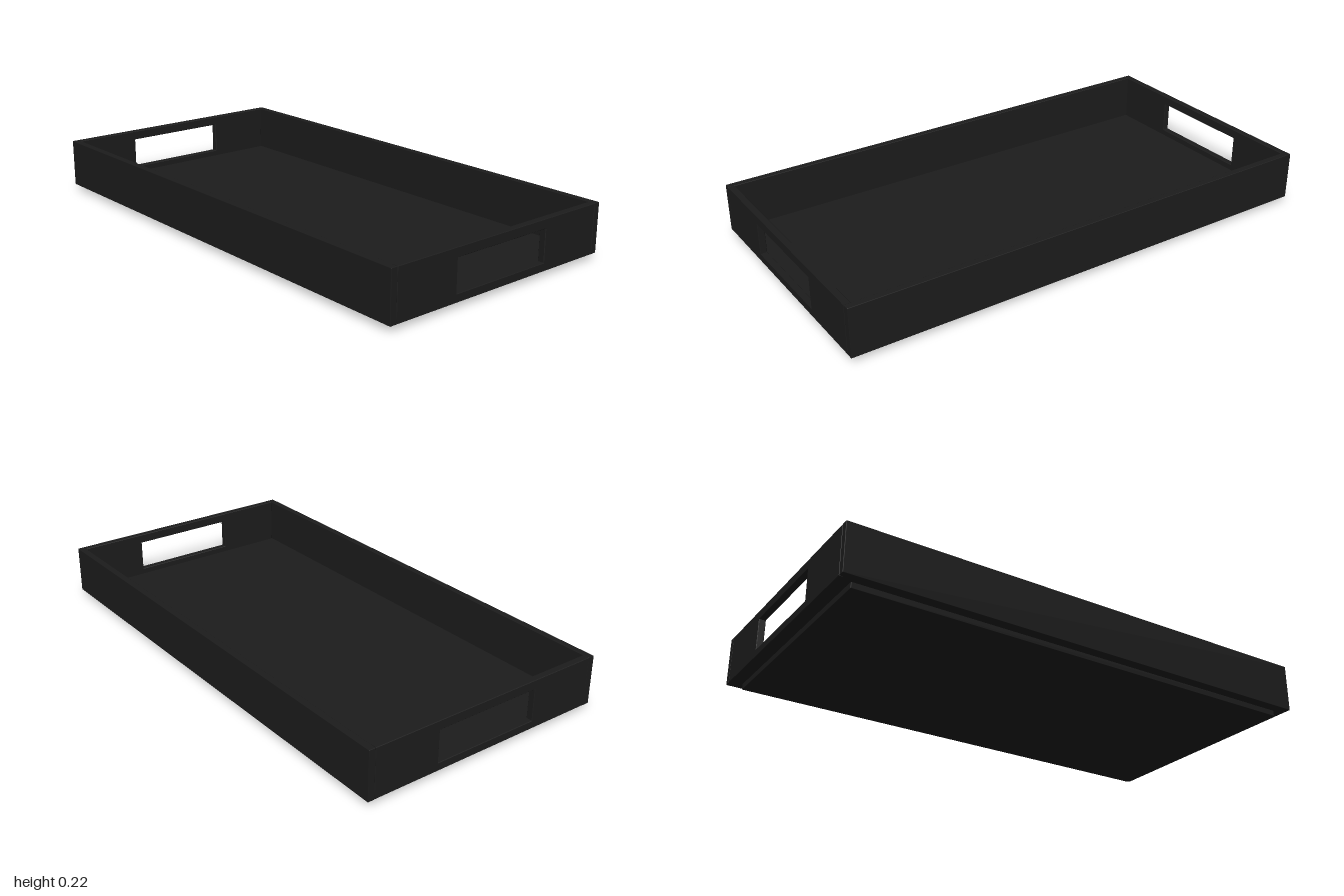
import * as THREE from 'three';
import { RoundedBoxGeometry } from 'three/addons/geometries/RoundedBoxGeometry.js';

const HX = 1, HZ = 0.517, BOTTOM = 0.023, TOP = 0.218, WALL = 0.027, BEVEL = 0.002;

export function createModel() {
  const tray = new THREE.Group();
  tray.name = 'servingTray';
  const mat = new THREE.MeshStandardMaterial({ color: 0x1c1c1c });

  const add = (name, geometry, x, y, z) => {
    const mesh = new THREE.Mesh(geometry, mat);
    mesh.name = name;
    mesh.position.set(x, y, z);
    tray.add(mesh);
    return mesh;
  };
  const slab = (w, h, d) => new RoundedBoxGeometry(w, h, d, 1, BEVEL);

  // Inset plinth under the tray, and the floor panel between the walls
  add('base', slab(1.9, 0.026, 0.95), 0, 0.013, 0);
  add('floor', new THREE.BoxGeometry(2 * HX - WALL, 0.008, 2 * HZ - WALL), 0, 0.027, 0);

  // Long walls
  const midY = (BOTTOM + TOP) / 2;
  for (const [name, s] of [['frontWall', 1], ['backWall', -1]]) {
    add(name, slab(2 * HX, TOP - BOTTOM, WALL), 0, midY, s * (HZ - WALL / 2));
  }

  // Short walls with a rectangular handle opening
  const rect = (target, w, y0, y1) => {
    target.moveTo(-w, y0);
    target.lineTo(w, y0);
    target.lineTo(w, y1);
    target.lineTo(-w, y1);
    target.closePath();
    return target;
  };
  const profile = rect(new THREE.Shape(), HZ - WALL - BEVEL, BOTTOM + BEVEL, TOP - BEVEL);
  profile.holes.push(rect(new THREE.Path(), 0.22 + BEVEL, 0.055 - BEVEL, 0.181 + BEVEL));
  const endWall = new THREE.ExtrudeGeometry(profile, {
    depth: WALL - 2 * BEVEL, bevelEnabled: true, bevelSize: BEVEL, bevelThickness: BEVEL, bevelSegments: 1,
  });
  endWall.translate(0, 0, BEVEL - WALL / 2);
  for (const [name, s] of [['leftHandleWall', 1], ['rightHandleWall', -1]]) {
    add(name, endWall, s * (HX - WALL / 2), 0, 0).rotation.y = s * Math.PI / 2;
  }
  return tray;
}
